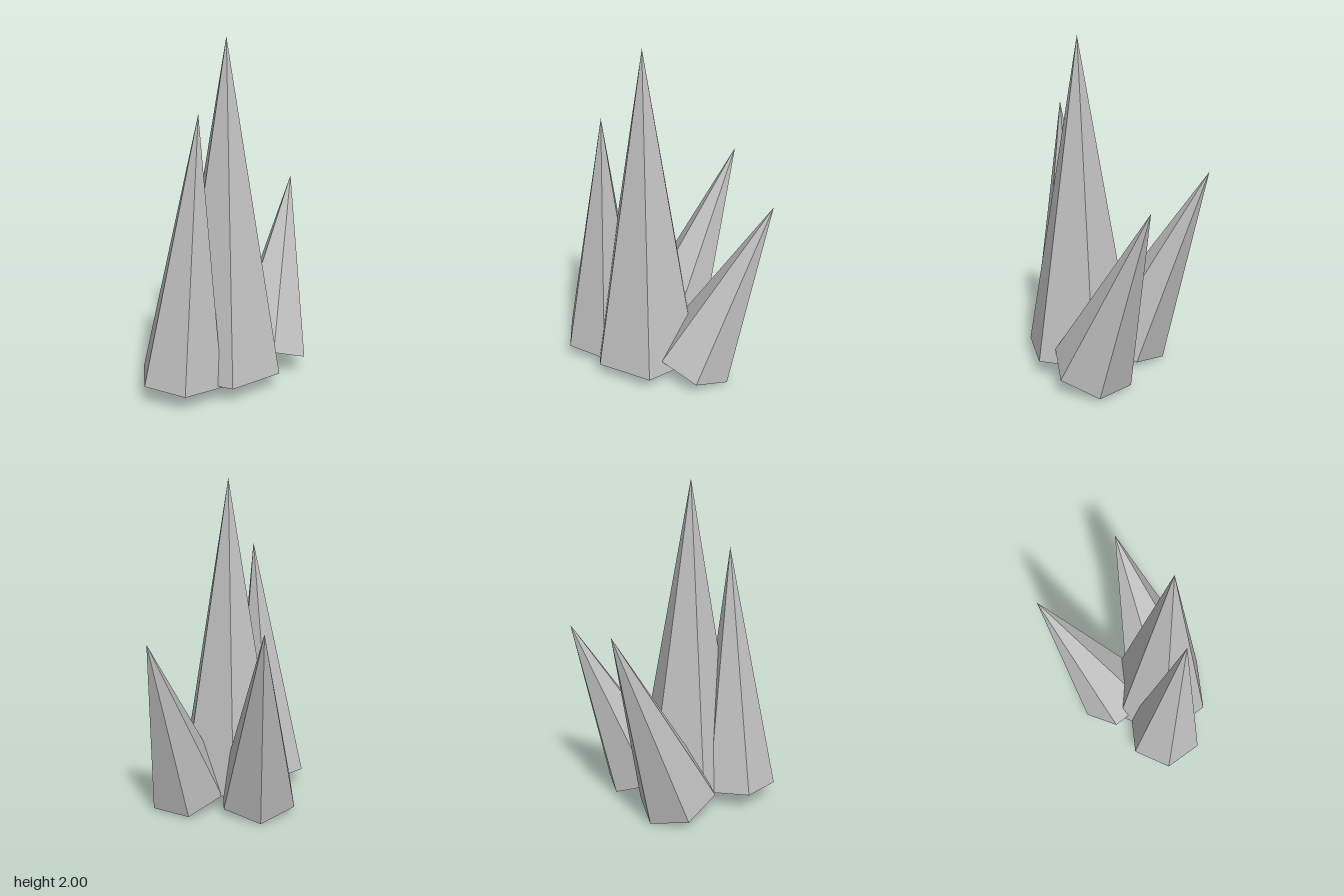
import * as THREE from 'three';

const SIDES = 6;

// Six-sided spike standing on a tilted hexagonal base.
// tip and base are points; corner is the direction from the base centre to one base corner.
function makeSpike(name, radius, tip, base, corner, material) {
  const top = new THREE.Vector3(...tip);
  const foot = new THREE.Vector3(...base);
  const axis = top.clone().sub(foot);
  const height = axis.length();
  axis.normalize();

  const geometry = new THREE.ConeGeometry(radius, height, SIDES, 1);
  geometry.translate(0, height / 2, 0);

  // Turn the cone so its axis meets the tip and a base corner meets the given direction
  const side = new THREE.Vector3().crossVectors(axis, new THREE.Vector3(...corner)).normalize();
  const forward = new THREE.Vector3().crossVectors(side, axis);
  const mesh = new THREE.Mesh(geometry, material);
  mesh.name = name;
  mesh.quaternion.setFromRotationMatrix(new THREE.Matrix4().makeBasis(side, axis, forward));
  mesh.position.copy(foot);
  return mesh;
}

export function createModel() {
  const group = new THREE.Group();
  group.name = 'crystalCluster';

  const crystal = new THREE.MeshStandardMaterial({ color: 0xc0c0c0 });
  crystal.name = 'crystalGrey';
  crystal.flatShading = true;

  group.add(
    // Tall upright spike in the middle
    makeSpike('mainSpike', 0.34, [0.21, 2, 0.065], [0.21, 0.1, 0.065], [0, 0, 1], crystal),
    // Slightly leaning spike in front
    makeSpike('frontSpike', 0.25, [0.27, 1.6, 0.295], [0.212, 0.1, 0.375], [0, 0.013, 0.25], crystal),
    // Outward leaning spikes at the side and back
    makeSpike('sideSpike', 0.248, [-0.51, 1.225, -0.197], [-0.1, 0.1, 0.067], [-0.015, 0.05, 0.243], crystal),
    makeSpike('backSpike', 0.247, [-0.017, 1.13, -0.63], [0.21, 0.1, -0.255], [0.015, -0.08, -0.222], crystal)
  );
  return group;
}
